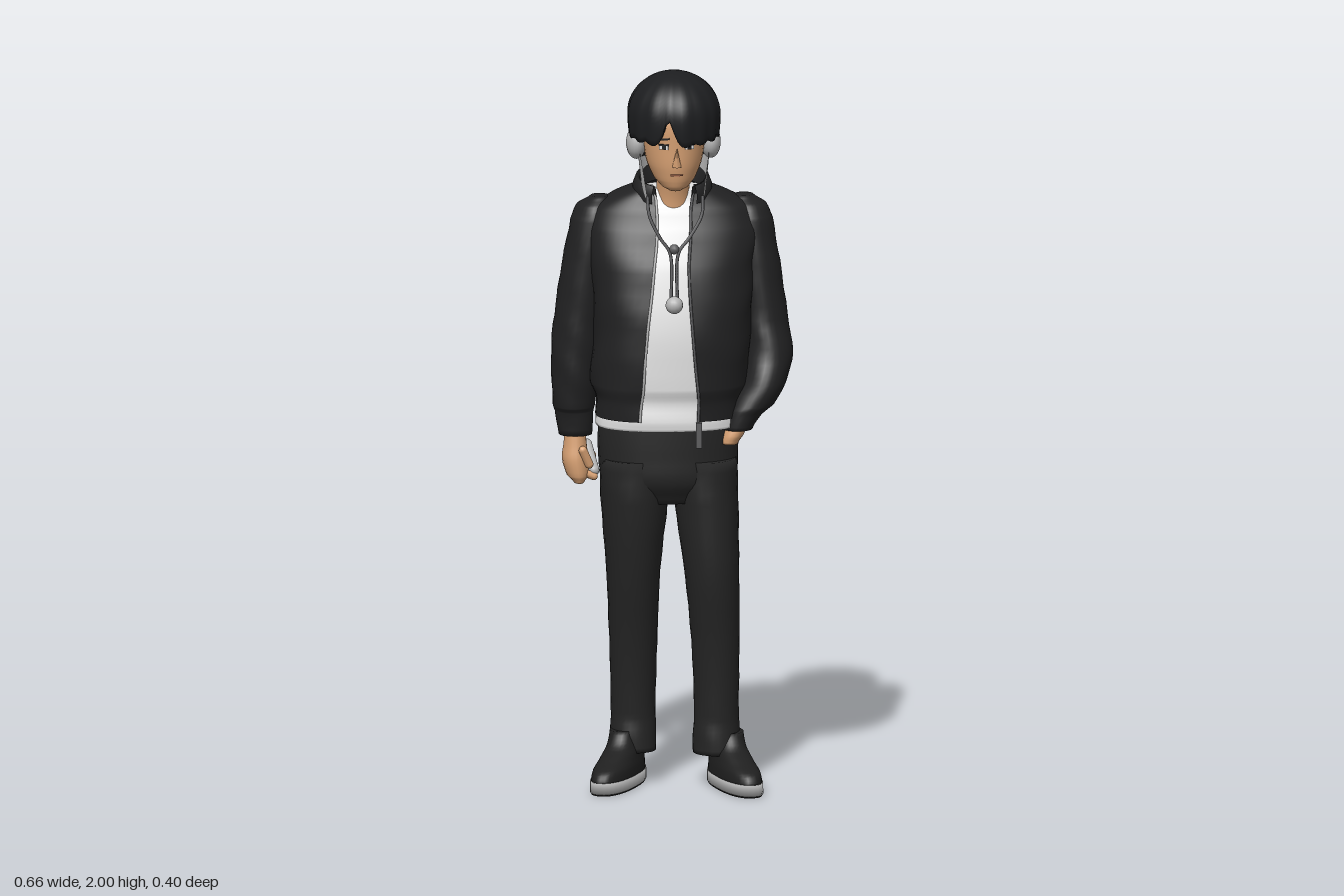
import * as THREE from 'three';

const mat = (name, color, side = THREE.FrontSide) => {
  const m = new THREE.MeshStandardMaterial({ color, side });
  m.name = name;
  return m;
};

const spow = (v, e) => Math.sign(v) * Math.pow(Math.abs(v), e);

// Catmull-Rom refinement of rows of numbers
function dense(rows, k = 4) {
  const out = [];
  for (let i = 0; i < rows.length - 1; i++) {
    const a = rows[Math.max(i - 1, 0)], b = rows[i], c = rows[i + 1], d = rows[Math.min(i + 2, rows.length - 1)];
    for (let j = 0; j < k; j++) {
      const t = j / k;
      out.push(b.map((_, n) => n === 0 ? b[0] + (c[0] - b[0]) * t : 0.5 * (2 * b[n] + (c[n] - a[n]) * t
        + (2 * a[n] - 5 * b[n] + 4 * c[n] - d[n]) * t * t + (3 * b[n] - a[n] - 3 * c[n] + d[n]) * t * t * t)));
    }
  }
  out.push(rows[rows.length - 1]);
  return out;
}

// Surface through point rows, bottom to top, each running front -> left -> back
function skin(rows, closed = true, caps = true) {
  const n = rows[0].length, pos = rows.flat(2), idx = [];
  for (let r = 0; r < rows.length - 1; r++) {
    for (let i = 0; i < (closed ? n : n - 1); i++) {
      const a = r * n + i, b = r * n + (i + 1) % n;
      idx.push(a, b, b + n, a, b + n, a + n);
    }
  }
  if (closed && caps) {
    for (const r of [0, rows.length - 1]) {
      const c = pos.length / 3;
      for (let k = 0; k < 3; k++) pos.push(rows[r].reduce((s, p) => s + p[k], 0) / n);
      for (let i = 0; i < n; i++) {
        const a = r * n + i, b = r * n + (i + 1) % n;
        if (r) idx.push(a, b, c); else idx.push(b, a, c);
      }
    }
  }
  const g = new THREE.BufferGeometry();
  g.setAttribute('position', new THREE.Float32BufferAttribute(pos, 3));
  g.setIndex(idx);
  g.computeVertexNormals();
  return g;
}

// Closed body from rows of [y, centreX, centreZ, radiusX, radiusZ]; wob adds cloth folds
function loft(rows, { e = 1, wob = 0, n = 32, k = 4 } = {}) {
  return skin(dense(rows, k).map(([y, cx, cz, rx, rz]) => Array.from({ length: n }, (_, i) => {
    const t = i / n * Math.PI * 2, f = 1 + wob * Math.sin(y * 55 + 2 * Math.sin(t + 1) + t * 2);
    return [cx + rx * f * spow(Math.sin(t), e), y, cz + rz * f * spow(Math.cos(t), e)];
  })));
}

export function createModel() {
  const D = THREE.DoubleSide;
  const M = {
    jacket: mat('jacket black', 0x212122, D), trousers: mat('trouser black', 0x252525),
    hair: mat('hair black', 0x1d1e20, D), shoe: mat('shoe black', 0x1f1f1f),
    shirt: mat('shirt white', 0xe4e4e4), skin: mat('skin', 0xd9a274),
    grey: mat('light grey', 0xb4b4b4, D), cord: mat('cord grey', 0x5c5c5e), lip: mat('lip', 0xa8694f),
  };
  const root = new THREE.Group();
  const add = (name, geo, m, pos, rot, parent = root) => {
    const o = new THREE.Mesh(geo, m);
    o.name = name;
    if (pos) o.position.set(...pos);
    if (rot) o.rotation.set(...rot);
    parent.add(o);
    return o;
  };
  const tube = (pts, r, seg = 40) => new THREE.TubeGeometry(
    new THREE.CatmullRomCurve3(pts.map(p => new THREE.Vector3(...p))), seg, r, 6);

  // Shoes: sole, tread and upper, toes turned out
  for (const [name, x, z, a] of [['rightShoe', -0.15, -0.005, -0.4], ['leftShoe', 0.167, 0.045, 0.25]]) {
    const g = new THREE.Group();
    g.name = name;
    g.position.set(x, 0, z);
    g.rotation.y = a;
    root.add(g);
    add('tread', loft([[0, 0, 0, 0.052, 0.156], [0.005, 0, 0, 0.054, 0.16]], { e: 0.85, k: 1 }), M.shoe, null, null, g);
    add('sole', loft([[0.005, 0, 0, 0.055, 0.161], [0.036, 0, 0, 0.055, 0.16]], { e: 0.85, k: 1 }), M.grey, null, null, g);
    add('upper', loft([[0.034, 0, 0, 0.054, 0.157], [0.06, 0, -0.006, 0.052, 0.147], [0.08, 0, -0.03, 0.048, 0.12],
      [0.11, 0, -0.062, 0.044, 0.083], [0.15, 0, -0.075, 0.042, 0.068]], { e: 0.88 }), M.shoe, null, null, g);
  }

  // Trousers
  add('trouserSeat', loft([[0.8, -0.01, -0.02, 0.13, 0.1], [0.86, -0.01, -0.022, 0.183, 0.135], [0.93, -0.012, -0.022, 0.192, 0.138],
    [1.0, -0.012, -0.02, 0.192, 0.136], [1.06, -0.012, -0.015, 0.182, 0.13]], { e: 0.9 }), M.trousers);
  add('rightTrouserLeg', loft([[0.09, -0.102, -0.085, 0.062, 0.077], [0.14, -0.103, -0.085, 0.063, 0.077], [0.2, -0.103, -0.085, 0.061, 0.075],
    [0.4, -0.104, -0.066, 0.066, 0.086], [0.6, -0.106, -0.04, 0.074, 0.108], [0.8, -0.104, -0.027, 0.092, 0.13],
    [0.92, -0.1, -0.025, 0.1, 0.132]], { e: 0.92, wob: 0.012 }), M.trousers);
  add('leftTrouserLeg', loft([[0.09, 0.121, -0.028, 0.064, 0.08], [0.14, 0.121, -0.028, 0.064, 0.08], [0.2, 0.121, -0.026, 0.061, 0.078],
    [0.4, 0.117, -0.01, 0.066, 0.084], [0.6, 0.106, 0.002, 0.075, 0.107], [0.8, 0.092, -0.012, 0.088, 0.128],
    [0.92, 0.085, -0.02, 0.092, 0.135]], { e: 0.92, wob: 0.012 }), M.trousers);

  // Shirt body and its hem under the jacket
  const torso = [[1.04, -0.012, -0.01, 0.2, 0.155], [1.09, -0.012, -0.012, 0.2, 0.16], [1.13, -0.01, -0.018, 0.215, 0.176],
    [1.3, 0, -0.018, 0.215, 0.177], [1.45, 0, -0.033, 0.225, 0.16], [1.55, 0.003, -0.05, 0.235, 0.135],
    [1.61, 0.004, -0.06, 0.215, 0.115], [1.645, 0, -0.055, 0.16, 0.095], [1.68, 0, -0.04, 0.09, 0.07]];
  add('shirt', loft([[1.012, -0.012, -0.012, 0.199, 0.15], ...torso.map(([y, x, z, a, b], i) => {
    const s = i ? 0.012 : 0.004;
    return [y - (i > 6 ? 0.015 : 0), x, z, a - s, b - s];
  })], { e: 0.8, wob: 0.006 }), M.shirt);

  // Open jacket: each row runs from the left front edge round the back to the right one
  const edges = [[0.06, -0.1], [0.06, -0.097], [0.056, -0.092], [0.042, -0.08], [0.035, -0.062], [0.042, -0.05],
    [0.045, -0.048], [0.05, -0.05], [0.055, -0.055]];
  const E = 0.8, angle = v => Math.asin(spow(THREE.MathUtils.clamp(v, -0.95, 0.95), 1 / E));
  const jacketRows = dense(torso.map((r, i) => [...r, ...edges[i]]), 5).map(([y, cx, cz, rx, rz, xl, xr]) => {
    const a = angle((xl - cx) / rx), b = Math.PI * 2 + angle((xr - cx) / rx);
    return Array.from({ length: 57 }, (_, i) => {
      const t = a + (b - a) * i / 56, f = 1 + 0.008 * Math.sin(y * 45 + 3 * Math.sin(t * 2));
      return [cx + rx * f * spow(Math.sin(t), E), y, cz + rz * f * spow(Math.cos(t), E)];
    });
  });
  add('jacketBody', skin(jacketRows, false), M.jacket);
  const edgeLine = i => jacketRows.filter((_, r) => r % 3 === 0).map(r => r[i]);
  add('rightZip', tube(edgeLine(56), 0.004), M.grey);
  add('leftZip', tube(edgeLine(0), 0.004), M.cord);
  add('zipStrap', new THREE.BoxGeometry(0.016, 0.07, 0.008), M.cord, [0.06, 1.005, 0.15]);

  // Ribbed collar, lower at the front
  add('collar', skin([[0.108, -0.025], [0.109, 0.0], [0.1, 0.024], [0.09, 0.022], [0.084, -0.02]].map(([r, h]) =>
    Array.from({ length: 37 }, (_, i) => {
      const t = 0.6 + (Math.PI * 2 - 1.2) * i / 36;
      return [r * Math.sin(t), 1.675 + h - 0.022 * Math.cos(t), -0.02 + r * 0.82 * Math.cos(t)];
    })), false), M.jacket);

  // Sleeves, gathered at the cuffs
  add('rightSleeve', loft([[0.97, -0.262, -0.085, 0.046, 0.052], [1.035, -0.264, -0.085, 0.053, 0.058], [1.05, -0.265, -0.085, 0.058, 0.068],
    [1.12, -0.264, -0.085, 0.062, 0.078], [1.2, -0.26, -0.085, 0.068, 0.083], [1.3, -0.25, -0.085, 0.069, 0.085],
    [1.45, -0.232, -0.082, 0.066, 0.085], [1.57, -0.212, -0.08, 0.063, 0.078], [1.61, -0.205, -0.08, 0.052, 0.062],
    [1.635, -0.195, -0.075, 0.025, 0.03]], { wob: 0.02 }), M.jacket);
  add('leftSleeve', loft([[1.005, 0.172, 0.052, 0.042, 0.052], [1.045, 0.19, 0.045, 0.052, 0.062], [1.07, 0.212, 0.035, 0.062, 0.076],
    [1.13, 0.245, 0.008, 0.066, 0.092], [1.2, 0.262, -0.02, 0.068, 0.094], [1.3, 0.25, -0.045, 0.068, 0.092],
    [1.45, 0.232, -0.055, 0.066, 0.088], [1.57, 0.215, -0.062, 0.063, 0.078], [1.61, 0.21, -0.065, 0.052, 0.062],
    [1.635, 0.2, -0.065, 0.025, 0.03]], { wob: 0.02 }), M.jacket);

  // Hands: the right one grips a small rod, the left one sits in the pocket
  add('rightHand', loft([[0.835, -0.252, -0.08, 0.014, 0.03], [0.855, -0.255, -0.085, 0.03, 0.045], [0.9, -0.262, -0.088, 0.036, 0.05],
    [0.94, -0.262, -0.087, 0.032, 0.042], [0.985, -0.262, -0.085, 0.028, 0.034]], { n: 20 }), M.skin);
  for (let i = 0; i < 4; i++) {
    add('rightFinger', new THREE.CapsuleGeometry(0.011, 0.03, 4, 8), M.skin,
      [-0.226, 0.858 + i * 0.016, -0.068 - i * 0.02], [0, 0, 1.2]);
  }
  add('rightThumb', new THREE.CapsuleGeometry(0.012, 0.045, 4, 8), M.skin, [-0.235, 0.91, -0.045], [0.2, 0, 0.4]);
  add('heldRod', new THREE.CapsuleGeometry(0.015, 0.095, 6, 14), M.grey, [-0.218, 0.897, -0.115], [-0.9, 0, 0.15]);
  add('leftHand', loft([[0.965, 0.15, 0.058, 0.024, 0.034], [0.99, 0.16, 0.055, 0.03, 0.042], [1.03, 0.175, 0.05, 0.032, 0.04]], { n: 20 }), M.skin);

  // Neck, head and face
  add('neck', loft([[1.6, 0, -0.015, 0.048, 0.05], [1.66, 0, -0.005, 0.045, 0.048], [1.75, 0, 0.02, 0.046, 0.05]]), M.skin);
  add('head', loft([[1.678, 0, 0.088, 0.016, 0.018], [1.688, 0, 0.075, 0.036, 0.048], [1.71, 0, 0.052, 0.057, 0.08],
    [1.75, 0, 0.036, 0.075, 0.104], [1.8, 0, 0.032, 0.084, 0.111], [1.88, 0, 0.033, 0.088, 0.112], [1.94, 0, 0.033, 0.06, 0.08]]), M.skin);
  add('nose', new THREE.ConeGeometry(0.014, 0.055, 6), M.skin, [0, 1.78, 0.143], [0.28, 0, 0]);
  add('mouth', new THREE.BoxGeometry(0.034, 0.004, 0.006), M.lip, [0, 1.728, 0.135]);
  for (const s of [-1, 1]) {
    add('eyeWhite', new THREE.BoxGeometry(0.026, 0.011, 0.005), M.shirt, [s * 0.035, 1.806, 0.134], [0, s * 0.36, 0]);
    add('iris', new THREE.BoxGeometry(0.011, 0.011, 0.005), M.hair, [s * 0.034, 1.806, 0.136], [0, s * 0.36, 0]);
    add('lashes', new THREE.BoxGeometry(0.03, 0.004, 0.007), M.hair, [s * 0.035, 1.813, 0.135], [0, s * 0.36, 0]);
    add('eyebrow', new THREE.BoxGeometry(0.034, 0.005, 0.007), M.hair, [s * 0.036, 1.829, 0.135], [0, s * 0.36, s * -0.1]);
  }

  // Bowl of hair with locks, a parting notch in the fringe and a lower nape
  const H = 72;
  const hairRow = (v, inner) => Array.from({ length: H }, (_, i) => {
    let t = i / H * Math.PI * 2;
    if (t > Math.PI) t -= Math.PI * 2;
    const back = THREE.MathUtils.smoothstep(Math.abs(t), 1.6, 2.2);
    const lock = Math.abs(Math.sin(t * 8));
    const yb = 1.818 + 0.016 * Math.sin(Math.abs(t) / 2) * (1 - back) - 0.072 * back
      + 0.075 * Math.exp(-Math.pow((t + 0.2) / 0.14, 2)) - 0.008 * lock * (1 - back);
    const y = yb + (2.0 - yb) * Math.sin(v * Math.PI / 2);
    const d = (y - 1.885) / 0.115;
    let r = d > 0 ? Math.sqrt(Math.max(0, 1 - d * d)) : 1 - 0.13 * Math.min(1, d * d);
    r *= (1 + 0.03 * lock * (1 - v * 0.6)) * (inner ? 0.7 : 0.975);
    return [0.128 * r * Math.sin(t), y + (inner ? 0.012 : 0), 0.035 + 0.15 * r * Math.cos(t)];
  });
  add('hair', skin([hairRow(0, true), ...Array.from({ length: 19 }, (_, j) => hairRow(j / 18, false))], true, false), M.hair);

  // Grey neck flap with ear pads, coming to a point beside the chin
  add('neckFlap', skin([0, 0.25, 0.5, 0.75, 1].map(v => Array.from({ length: 41 }, (_, i) => {
    const start = 0.95 + 0.4 * v, t = start + (Math.PI * 2 - 2 * start) * i / 40;
    const f = Math.cos(t), low = 1.7 - 0.08 * Math.max(0, f) - 0.03 * f;
    return [(0.09 + 0.012 * v) * Math.sin(t), low + (1.81 - low) * v, 0.02 + 0.108 * f];
  })), false), M.grey);
  for (const s of [-1, 1]) {
    const pad = add('earPad', new THREE.SphereGeometry(0.045, 20, 14), M.grey, [s * 0.102, 1.798, 0.015]);
    pad.scale.set(0.62, 1, 1);
    add('flapCord', tube([[s * 0.076, 1.66, 0.08], [s * 0.072, 1.61, 0.096], [s * 0.04 - 0.004, 1.55, 0.118],
      [s * 0.012 - 0.006, 1.51, 0.128], [s * 0.008 - 0.008, 1.38, 0.152]], 0.0045), M.cord);
  }
  add('cordKnot', new THREE.SphereGeometry(0.014, 12, 8), M.cord, [-0.006, 1.52, 0.126]);
  add('cordBall', new THREE.SphereGeometry(0.024, 16, 12), M.grey, [-0.008, 1.37, 0.155]);

  return root;
}
